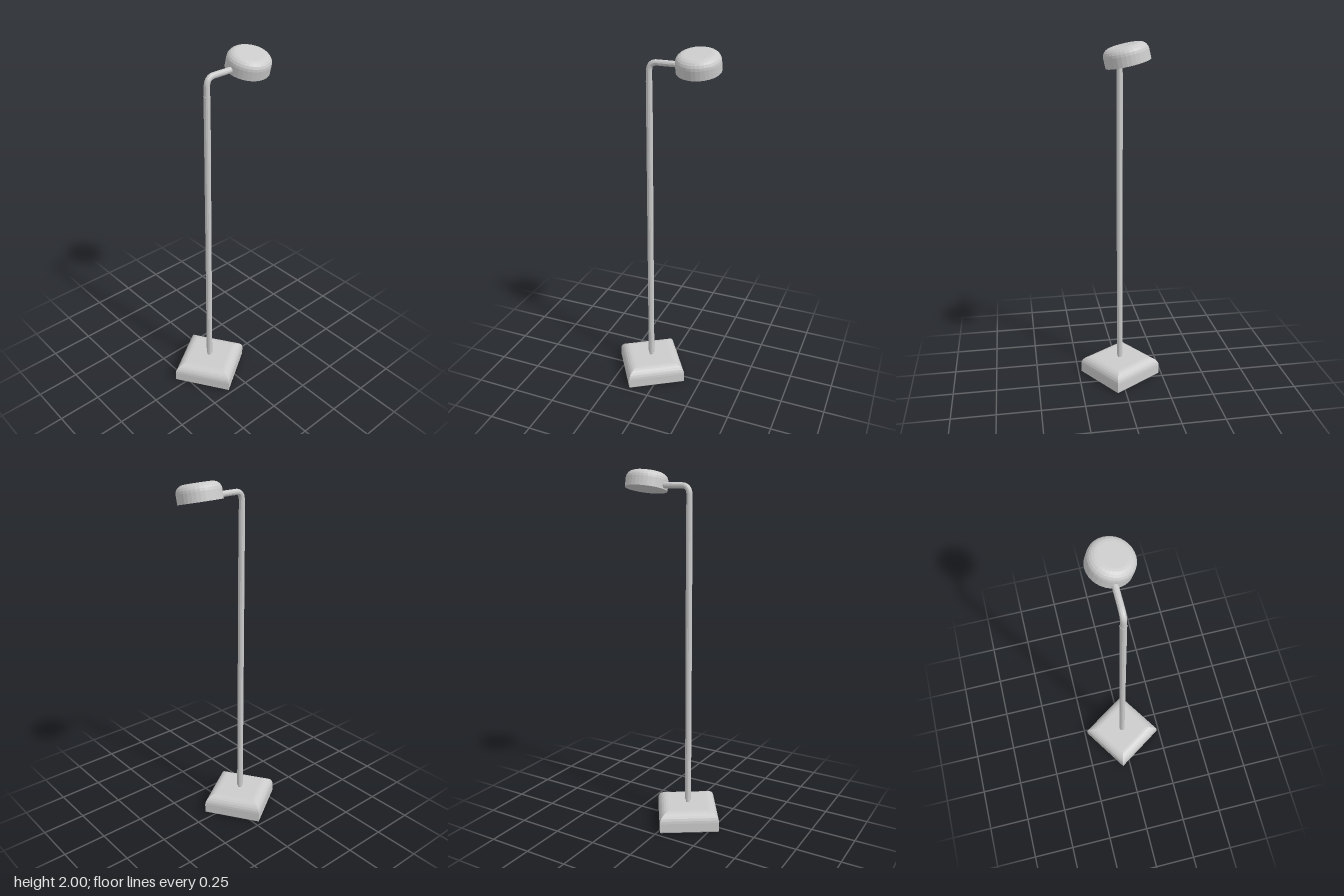
import * as THREE from 'three';

const material = new THREE.MeshStandardMaterial({ color: 0xcccccc, flatShading: true });
const POLE_Z = 0.075;

function add(group, name, geometry, x = 0, y = 0, z = 0) {
  const mesh = new THREE.Mesh(geometry, material);
  mesh.name = name;
  mesh.position.set(x, y, z);
  group.add(mesh);
  return mesh;
}

// Closed profile, bottom to top: straight side, then a rounded shoulder
function shoulderProfile(radius, height, inset, drop, foot, steps) {
  const points = [new THREE.Vector2(0, 0), new THREE.Vector2(radius - foot, 0)];
  if (foot > 0) points.push(new THREE.Vector2(radius, foot));
  for (let i = 0; i <= steps; i++) {
    const a = (i / steps) * Math.PI / 2;
    points.push(new THREE.Vector2(
      radius - inset + inset * Math.cos(a),
      height - drop + drop * Math.sin(a)
    ));
  }
  points.push(new THREE.Vector2(0, height));
  return points;
}

export function createModel() {
  const model = new THREE.Group();
  model.name = 'floorLamp';

  // Square base with rounded top edges, turned 33 degrees
  const baseProfile = shoulderProfile(0.1685, 0.115, 0.055, 0.055, 0.008, 6)
    .map((p) => new THREE.Vector2(p.x * Math.SQRT2, p.y));
  const base = add(model, 'base', new THREE.LatheGeometry(baseProfile, 4), 0, 0, 0.073);
  base.rotation.y = THREE.MathUtils.degToRad(33 + 45);

  // Upright pole on a thin collar
  add(model, 'collar', new THREE.CylinderGeometry(0.013, 0.013, 0.04, 12), 0, 0.125, POLE_Z);
  add(model, 'pole', new THREE.CylinderGeometry(0.0175, 0.0175, 1.69, 12), 0, 0.975, POLE_Z);

  // Bent arm running back to the head
  const v = (y, z) => new THREE.Vector3(0, y, z);
  const path = new THREE.CurvePath();
  path.add(new THREE.LineCurve3(v(1.8, POLE_Z), v(1.87, POLE_Z)));
  path.add(new THREE.QuadraticBezierCurve3(v(1.87, POLE_Z), v(1.917, POLE_Z), v(1.917, POLE_Z - 0.045)));
  path.add(new THREE.LineCurve3(v(1.917, POLE_Z - 0.045), v(1.917, -0.1)));
  add(model, 'arm', new THREE.TubeGeometry(path, 32, 0.016, 12));

  // Round head, tilted to one side
  const headProfile = shoulderProfile(0.116, 0.092, 0.046, 0.042, 0, 5);
  const head = add(model, 'head', new THREE.LatheGeometry(headProfile, 32), 0, 1.895, -0.193);
  head.rotation.z = THREE.MathUtils.degToRad(-13);

  return model;
}
